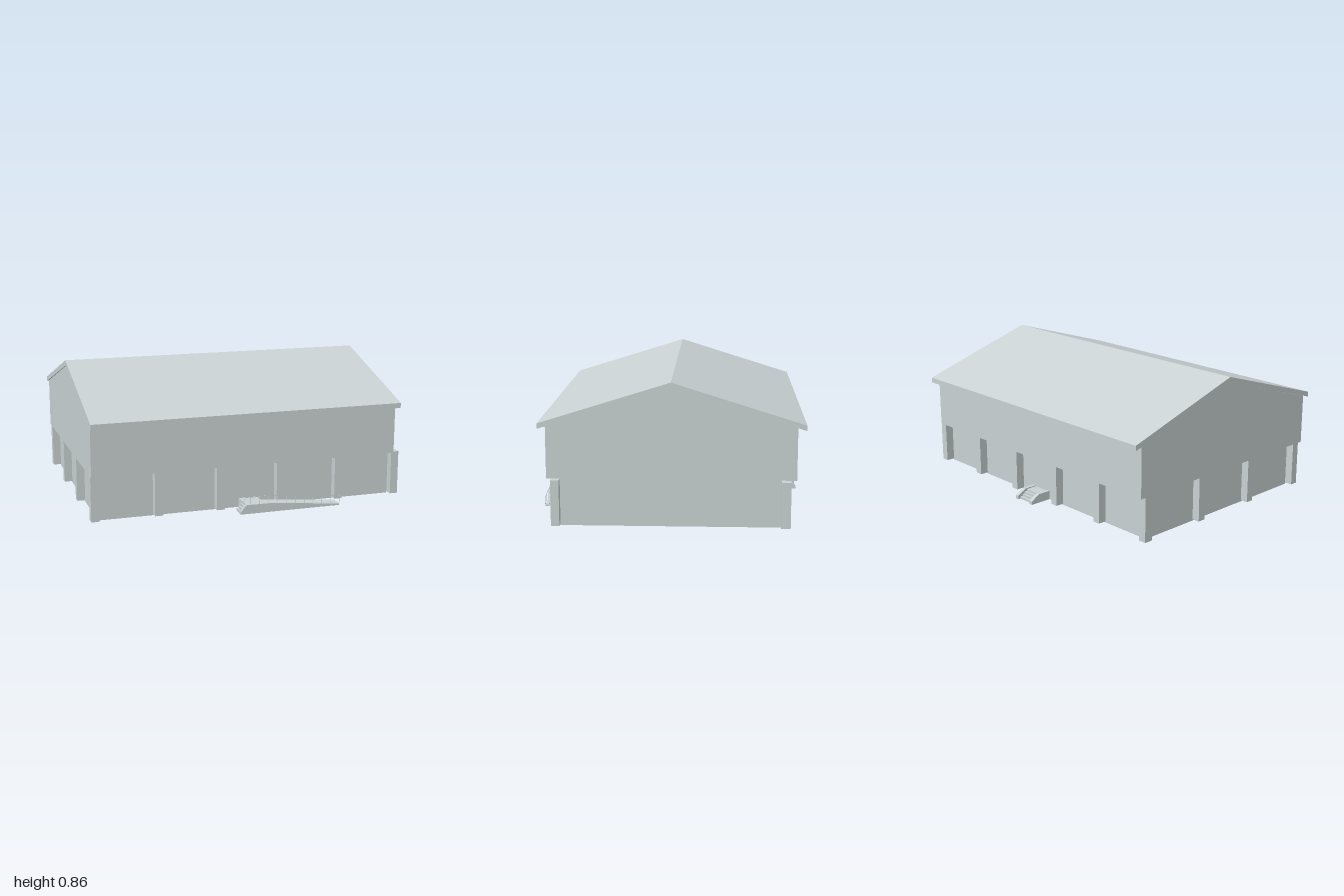
import * as THREE from 'three';

export function createModel() {
  const model = new THREE.Group();
  model.name = 'hall';
  const grey = new THREE.MeshStandardMaterial({ color: 0xc9d1d2 });
  grey.name = 'paleGrey';

  const add = (name, geometry, parent = model) => {
    const mesh = new THREE.Mesh(geometry, grey);
    mesh.name = name;
    parent.add(mesh);
    return mesh;
  };
  // Box given by its limits on each axis
  const box = (name, x0, x1, y0, y1, z0, z1, parent) =>
    add(name, new THREE.BoxGeometry(x1 - x0, y1 - y0, z1 - z0), parent)
      .position.set((x0 + x1) / 2, (y0 + y1) / 2, (z0 + z1) / 2);
  const extrude = (points, depth) => new THREE.ExtrudeGeometry(
    new THREE.Shape(points.map(([a, b]) => new THREE.Vector2(a, b))),
    { depth, bevelEnabled: false });
  // Profile of [z, y] points swept from x0 to x1
  const sweepX = (name, points, x0, x1, parent) => {
    const g = extrude(points.map(([z, y]) => [-z, y]), x1 - x0);
    g.rotateY(Math.PI / 2).translate(x0, 0, 0);
    return add(name, g, parent);
  };
  const group = (name) => {
    const g = new THREE.Group();
    g.name = name;
    model.add(g);
    return g;
  };

  // Recessed ground floor, overhanging upper walls and gable roof
  box('lowerWalls', -0.945, 0.95, 0, 0.285, -0.66, 0.64);
  sweepX('upperWalls', [[0.72, 0.285], [0.72, 0.598], [-0.015, 0.828], [-0.75, 0.598], [-0.75, 0.285]], -0.995, 0.95);
  sweepX('roof', [[0.765, 0.585], [0.765, 0.617], [-0.015, 0.862], [-0.8, 0.617], [-0.8, 0.585], [-0.015, 0.828]], -1, 0.965);

  // Pillars along the front, the back and the left-hand end of the plan
  const pillars = group('pillars');
  for (let i = 0; i < 6; i++) {
    const x = -0.995 + i * 0.389;
    box('frontPillar', x, x + 0.05, 0.008, 0.285, 0.64, 0.69, pillars);
    box('backPillar', x, x + 0.05, 0.008, 0.285, -0.715, -0.66, pillars);
  }
  for (const z of [0.19, -0.26]) box('endPillar', -0.995, -0.945, 0.008, 0.285, z, z + 0.05, pillars);

  // Front landing with a finely stepped ramp
  const ramp = group('frontRamp');
  box('landing', -0.06, 0.06, 0, 0.056, 0.64, 0.775, ramp);
  const steps = 48, run = 0.49 / steps;
  for (let i = 0; i < steps; i++) {
    const x = 0.06 + i * run;
    box('rampStep', x, x + run, 0.004, 0.056 - 0.046 * (i + 1) / steps, 0.705, 0.775, ramp);
  }
  const stringer = extrude([[-0.1, 0], [0.55, 0], [0.55, 0.01], [0.08, 0.056], [-0.065, 0.056], [-0.1, 0.012]], 0.018);
  add('stringer', stringer.translate(0, 0, 0.775), ramp);
  for (let i = 0; i < 3; i++) box('sideStep', -0.06 - (i + 1) * 0.012, -0.06 - i * 0.012, 0, 0.044 - i * 0.014, 0.705, 0.775, ramp);

  // Thin railing following the ramp
  const floorAt = (x) => (x < -0.065 ? 0.012 + (x + 0.1) * 1.25 : x < 0.08 ? 0.056 : 0.056 - (x - 0.08) * 0.098);
  for (let i = 0; i < 12; i++) {
    const x = -0.098 + i * 0.0587, y = floorAt(x);
    box('railPost', x - 0.001, x + 0.001, y - 0.004, y + 0.05, 0.793, 0.796, ramp);
  }
  const railPath = [[-0.1, 0.062], [-0.065, 0.106], [0.08, 0.106], [0.55, 0.06]];
  const band = [...railPath, ...railPath.map(([x, y]) => [x, y - 0.003]).reverse()];
  add('handrail', extrude(band, 0.003).translate(0, 0, 0.793), ramp);

  // Back steps between two sloping cheeks
  const stairs = group('backSteps');
  box('backLanding', -0.06, 0.05, 0, 0.05, -0.735, -0.66, stairs);
  for (let i = 0; i < 3; i++) box('backStep', -0.06, 0.05, 0, 0.038 - i * 0.012, -0.753 - i * 0.018, -0.735, stairs);
  const cheek = [[-0.66, 0], [-0.66, 0.056], [-0.745, 0.056], [-0.805, 0.022], [-0.805, 0]];
  for (const x of [-0.085, 0.05]) sweepX('stairCheek', cheek, x, x + 0.025, stairs);

  return model;
}
